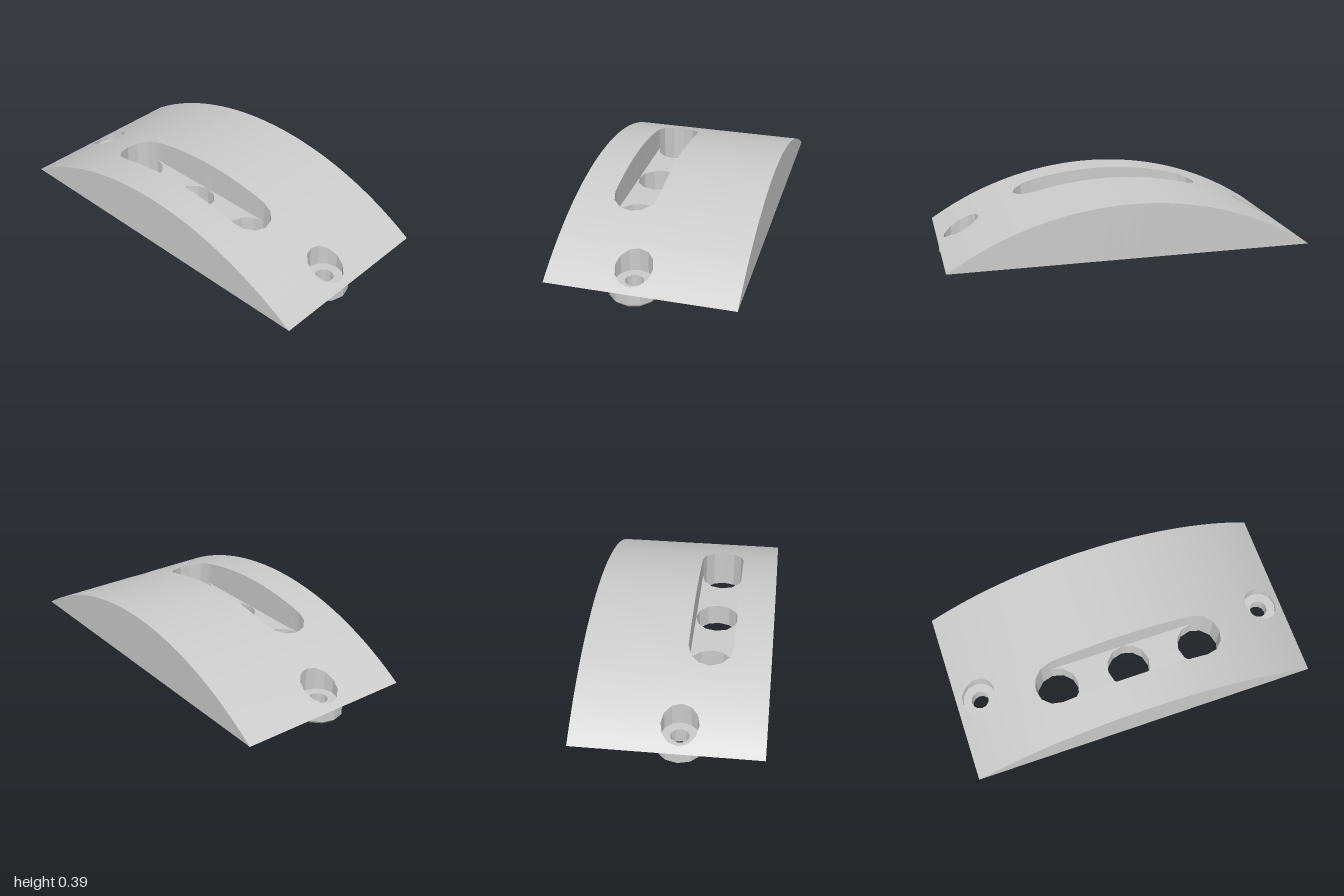
import * as THREE from 'three';
import { toCreasedNormals } from 'three/addons/utils/BufferGeometryUtils.js';

const BASE = 0.085, TOP = 0.387, R = 1.8;     // arched body
const DEPTH = 0.505;                          // half depth in z
const SLOT_Z = 0.18, SLOT_R = 0.122, SLOT_X = 0.425, SLOT_FLOOR = 0.21;
const BORE_Z = 0.06, BORE_R = 0.1, BORE_X = 0.865;
const SIDES = 12;

// Height of the arched top at x
const arch = (x) => Math.max(BASE, TOP - R + Math.sqrt(R * R - x * x));

// Half width of a regular polygon "circle" at offset u from its centre
function halfWidth(u, r) {
  const c = Math.abs(u) / r;
  if (c >= 1 - 1e-6) return 0;
  const step = (2 * Math.PI) / SIDES;
  const k = Math.floor(Math.acos(c) / step + 1e-6);
  const a = k * step, b = a + step;
  const t = (Math.cos(a) - c) / (Math.cos(a) - Math.cos(b));
  return r * (Math.sin(a) + t * (Math.sin(b) - Math.sin(a)));
}

// Openings: half width above and below the ledge
const slot = {
  z: SLOT_Z, floor: SLOT_FLOOR,
  top: (x) => halfWidth(Math.max(0, Math.abs(x) - SLOT_X), SLOT_R),
  low: (x) => Math.max(...[-1, 0, 1].map((i) => halfWidth(x - i * SLOT_X, SLOT_R))),
};
const boreWidth = (x) => halfWidth(Math.abs(x) - BORE_X, BORE_R);
const bore = { z: BORE_Z, floor: BASE, top: boreWidth, low: boreWidth };

// Arched block built as strips along x, each split around the opening in it
function bodyGeometry() {
  const xs = [];
  for (let i = 0; i <= 32; i++) xs.push(-1 + i / 16);
  for (let k = 0; k <= SIDES / 2; k++) {
    const c = Math.cos((k * 2 * Math.PI) / SIDES);
    for (const i of [-1, 0, 1]) xs.push(i * SLOT_X + c * SLOT_R);
    for (const s of [-1, 1]) xs.push(s * BORE_X + c * BORE_R);
  }
  xs.sort((a, b) => a - b);

  const pos = [];
  const tri = (a, b, c) => {
    const area = new THREE.Triangle(a, b, c).getArea();
    if (area > 1e-8) for (const p of [a, b, c]) pos.push(p.x, p.y, p.z);
  };
  for (let i = 0; i + 1 < xs.length; i++) {
    const x0 = xs[i], x1 = xs[i + 1];
    if (x1 - x0 < 1e-5) continue;
    // Strip from curve f to curve g, each giving [y, z] at x
    const strip = (f, g) => {
      const P = (x, h) => new THREE.Vector3(x, ...h(x));
      const a = P(x0, f), b = P(x1, f), c = P(x1, g), d = P(x0, g);
      tri(a, b, c);
      tri(a, c, d);
    };
    const o = Math.abs(x0 + x1) / 2 < 0.65 ? slot : bore;
    const at = (y, z) => (x) => [typeof y === 'function' ? y(x) : y, typeof z === 'function' ? z(x) : z];
    const topF = (x) => o.z + o.top(x), topB = (x) => o.z - o.top(x);
    const lowF = (x) => o.z + o.low(x), lowB = (x) => o.z - o.low(x);
    // Top skin
    strip(at(arch, DEPTH), at(arch, topF));
    strip(at(arch, topB), at(arch, -DEPTH));
    // Underside
    strip(at(BASE, lowF), at(BASE, DEPTH));
    strip(at(BASE, -DEPTH), at(BASE, lowB));
    // Front and back faces
    strip(at(BASE, DEPTH), at(arch, DEPTH));
    strip(at(arch, -DEPTH), at(BASE, -DEPTH));
    // Walls above the ledge
    strip(at(arch, topF), at(o.floor, topF));
    strip(at(o.floor, topB), at(arch, topB));
    // Ledge
    strip(at(o.floor, topF), at(o.floor, lowF));
    strip(at(o.floor, lowB), at(o.floor, topB));
    // Walls below the ledge
    strip(at(o.floor, lowF), at(BASE, lowF));
    strip(at(BASE, lowB), at(o.floor, lowB));
  }
  const g = new THREE.BufferGeometry();
  g.setAttribute('position', new THREE.Float32BufferAttribute(pos, 3));
  return toCreasedNormals(g, THREE.MathUtils.degToRad(20));
}

export function createModel() {
  const model = new THREE.Group();
  model.name = 'archedBlock';

  const body = new THREE.Mesh(bodyGeometry(), new THREE.MeshStandardMaterial({ color: 0xcccccc }));
  body.name = 'body';
  model.add(body);

  // Ring feet with a chamfered lower edge; their tops floor the counterbores
  const profile = [[0.05, BASE], [0.05, 0], [0.11, 0], [0.13, 0.02], [0.13, BASE], [0.05, BASE]]
    .map(([x, y]) => new THREE.Vector2(x, y));
  const footGeometry = new THREE.LatheGeometry(profile, SIDES);
  const footMaterial = new THREE.MeshStandardMaterial({ color: 0xcccccc, flatShading: true });
  for (const s of [-1, 1]) {
    const foot = new THREE.Mesh(footGeometry, footMaterial);
    foot.name = s > 0 ? 'leftFoot' : 'rightFoot';
    foot.position.set(s * BORE_X, 0, BORE_Z);
    model.add(foot);
  }
  return model;
}
